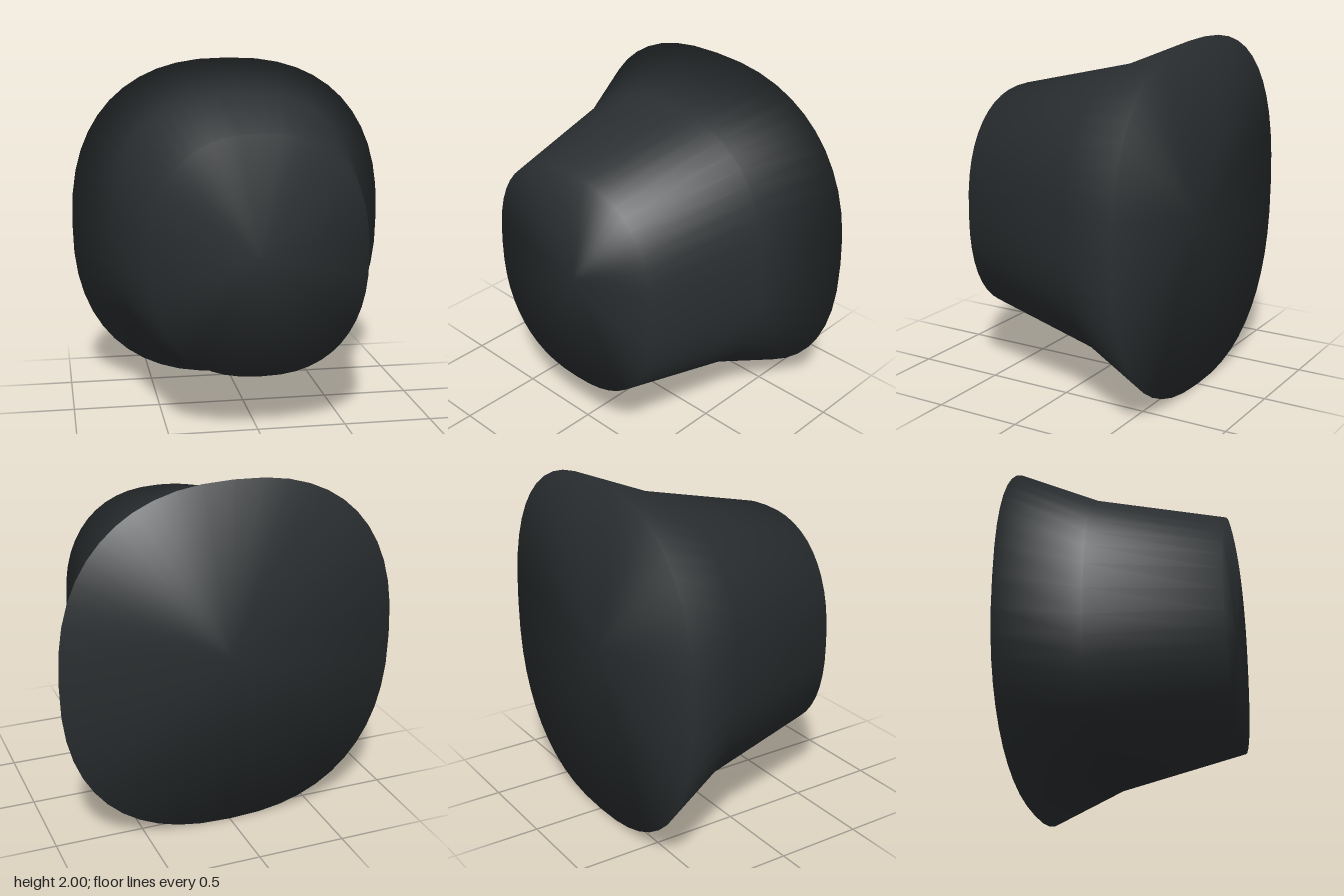
import * as THREE from 'three';

const SEGMENTS = 48;
const ROUNDNESS = 2.4; // superellipse exponent: a softly squared oval

// Cross-sections from back to front: depth, half width, half height
const SECTIONS = [
  { z: -0.58, w: 0.965, h: 1.0 },  // wide rim
  { z: -0.15, w: 0.75, h: 0.83 },  // waist where the flare begins
  { z: 0.58, w: 0.6, h: 0.665 },   // narrow end
];

const squash = (v) => Math.sign(v) * Math.pow(Math.abs(v), 2 / ROUNDNESS);

// Closed solid skinned through the sections, with shared vertices for smooth shading
function loftSections(sections) {
  const positions = [];
  const index = [];
  for (const { z, w, h } of sections) {
    for (let j = 0; j < SEGMENTS; j++) {
      const t = (j / SEGMENTS) * Math.PI * 2;
      positions.push(w * squash(Math.cos(t)), 1 + h * squash(Math.sin(t)), z);
    }
  }
  const last = sections.length - 1;
  const backCentre = sections.length * SEGMENTS;
  const frontCentre = backCentre + 1;
  positions.push(0, 1, sections[0].z, 0, 1, sections[last].z);

  for (let j = 0; j < SEGMENTS; j++) {
    const k = (j + 1) % SEGMENTS;
    // Side walls
    for (let r = 0; r < last; r++) {
      const a = r * SEGMENTS;
      const b = a + SEGMENTS;
      index.push(a + j, a + k, b + k, a + j, b + k, b + j);
    }
    // End caps
    index.push(backCentre, k, j);
    index.push(frontCentre, last * SEGMENTS + j, last * SEGMENTS + k);
  }

  const geometry = new THREE.BufferGeometry();
  geometry.setAttribute('position', new THREE.Float32BufferAttribute(positions, 3));
  geometry.setIndex(index);
  geometry.computeVertexNormals();
  return geometry;
}

export function createModel() {
  const group = new THREE.Group();
  group.name = 'flaredPlug';

  const material = new THREE.MeshStandardMaterial({ color: 0x2a2e30, side: THREE.DoubleSide });
  const body = new THREE.Mesh(loftSections(SECTIONS), material);
  body.name = 'flaredBody';
  group.add(body);
  return group;
}
